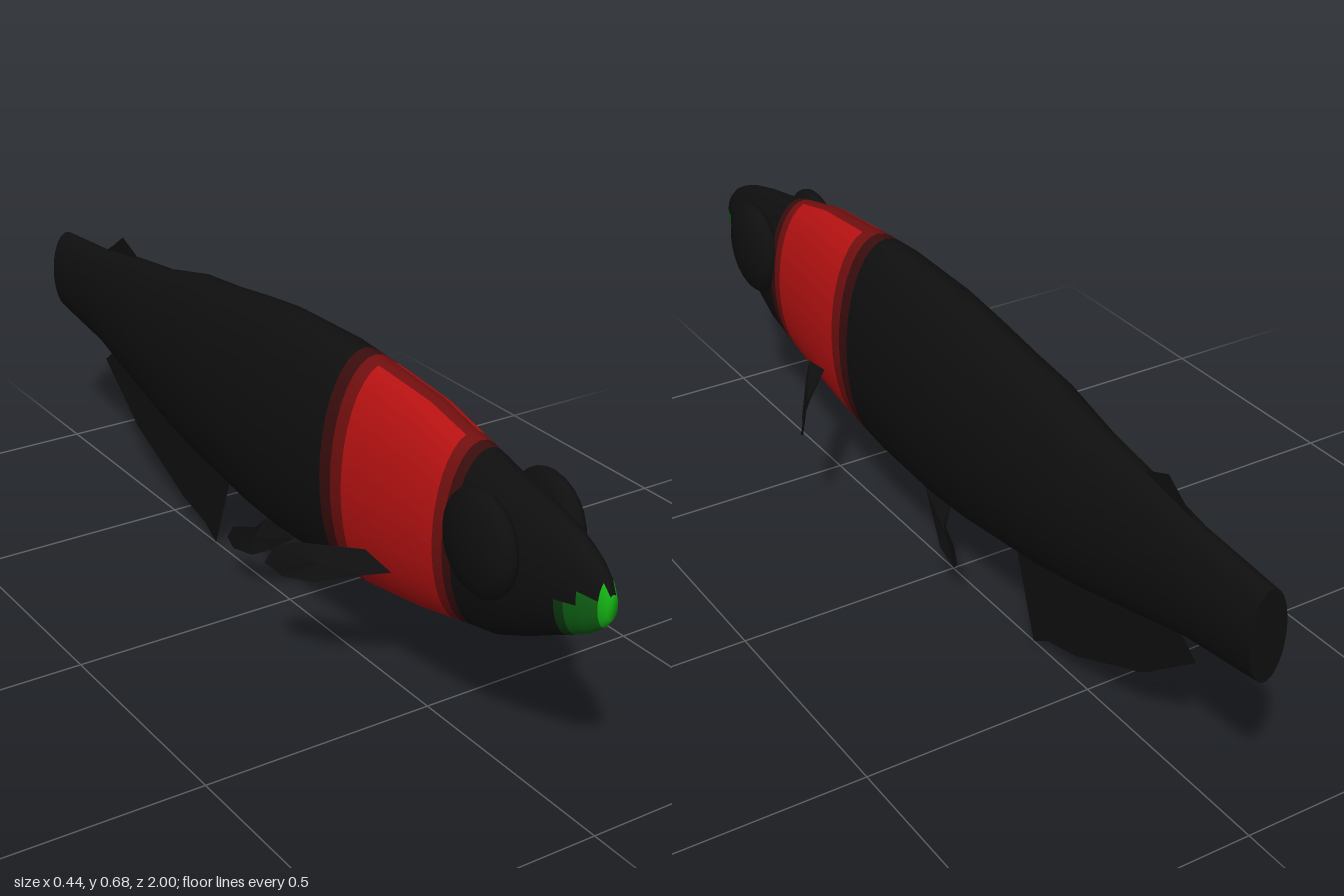
import * as THREE from 'three';

const paint = (name, color, side = THREE.FrontSide) => {
  const m = new THREE.MeshStandardMaterial({ color, side });
  m.name = name;
  return m;
};

// Body sections from nose to tail: z, top, bottom, half width
const SECTIONS = [
  [1, 0.485, 0.435, 0.012], [0.985, 0.51, 0.415, 0.02], [0.955, 0.535, 0.39, 0.031],
  [0.92, 0.553, 0.37, 0.041], [0.88, 0.568, 0.35, 0.05], [0.8, 0.588, 0.308, 0.063],
  [0.72, 0.602, 0.272, 0.073], [0.655, 0.618, 0.258, 0.079], [0.5, 0.655, 0.222, 0.09],
  [0.36, 0.667, 0.2, 0.098], [0.2, 0.677, 0.182, 0.104], [0, 0.671, 0.176, 0.106],
  [-0.1, 0.659, 0.182, 0.104], [-0.22, 0.642, 0.198, 0.099], [-0.35, 0.629, 0.213, 0.091],
  [-0.5, 0.594, 0.243, 0.077], [-0.65, 0.576, 0.278, 0.06], [-0.8, 0.55, 0.315, 0.046],
  [-1, 0.535, 0.342, 0.04],
];
// Extra rings where the colours change
const EDGES = [0.945, 0.9, 0.632, 0.605, 0.335, 0.3, 0.265];
const SIDES = 36;

function sectionAt(z) {
  const i = Math.max(1, SECTIONS.findIndex((s) => s[0] <= z));
  const a = SECTIONS[i - 1], b = SECTIONS[i];
  const t = (z - a[0]) / (b[0] - a[0]);
  return a.map((v, k) => v + (b[k] - v) * t);
}

// Material index: 0 black, 1-3 dark to bright red, 4-6 dark to bright green
function colourAt(z, s) {
  if (z > 0.975) return s < 0.85 ? 6 : 0;
  if (z > 0.945) return s < 0.15 ? 5 : 0;
  if (z > 0.9) return s < -0.1 ? (z > 0.92 ? 5 : 4) : 0;
  if (z < 0.265 || z > 0.655) return 0;
  if (z < 0.3 || z > 0.632) return 1;
  if (z < 0.335 || z > 0.605) return 2;
  return Math.abs(s) > 0.97 ? 2 : 3;
}

function bodyGeometry() {
  const rings = [...SECTIONS, ...EDGES.map(sectionAt)].sort((a, b) => b[0] - a[0]);
  const pos = [], buckets = Array.from({ length: 7 }, () => []);
  for (const [z, top, bottom, w] of rings) {
    for (let j = 0; j < SIDES; j++) {
      const a = (j / SIDES) * Math.PI * 2;
      pos.push(w * Math.cos(a), (top + bottom) / 2 + ((top - bottom) / 2) * Math.sin(a), z);
    }
  }
  const nose = pos.length / 3;
  pos.push(0, 0.46, 1);
  for (let j = 0; j < SIDES; j++) {
    const n = (j + 1) % SIDES;
    const s = Math.sin(((j + 0.5) / SIDES) * Math.PI * 2);
    buckets[6].push(nose, j, n);
    for (let i = 0; i < rings.length - 1; i++) {
      const a = i * SIDES + j, b = i * SIDES + n, c = a + SIDES, d = b + SIDES;
      buckets[colourAt((rings[i][0] + rings[i + 1][0]) / 2, s)].push(a, c, b, b, c, d);
    }
  }
  const geo = new THREE.BufferGeometry();
  geo.setAttribute('position', new THREE.Float32BufferAttribute(pos, 3));
  geo.setIndex(buckets.flat());
  let start = 0;
  buckets.forEach((f, m) => {
    geo.addGroup(start, f.length, m);
    start += f.length;
  });
  geo.computeVertexNormals();
  return geo;
}

// Thin fin from an outline of [x, y, z] points, fanned around its middle
function finGeometry(points, side = 1) {
  const mid = [0, 1, 2].map((k) => points.reduce((t, p) => t + p[k], 0) / points.length);
  const pos = [];
  points.forEach((p, i) => {
    for (const [x, y, z] of [mid, p, points[(i + 1) % points.length]]) pos.push(x * side, y, z);
  });
  const geo = new THREE.BufferGeometry();
  geo.setAttribute('position', new THREE.Float32BufferAttribute(pos, 3));
  geo.computeVertexNormals();
  return geo;
}

export function createModel() {
  const model = new THREE.Group();
  model.name = 'fish';
  const black = paint('black', 0x0f0f0f);
  const finBlack = paint('finBlack', 0x0f0f0f, THREE.DoubleSide);
  const skin = [
    black, paint('darkRed', 0x3a0d0d), paint('mediumRed', 0x720f0f), paint('brightRed', 0xb81212),
    paint('darkGreen', 0x0c3a10), paint('mediumGreen', 0x0e6214), paint('brightGreen', 0x14b014),
  ];
  const add = (name, geo, mat) => {
    const mesh = new THREE.Mesh(geo, mat);
    mesh.name = name;
    model.add(mesh);
    return mesh;
  };

  // Body and flat tail end
  add('body', bodyGeometry(), skin);
  const end = add('tailEnd', new THREE.CircleGeometry(1, SIDES), black);
  end.scale.set(0.04, 0.0965, 1);
  end.rotation.y = Math.PI;
  end.position.set(0, 0.4385, -1);

  // Fins on the centre line
  const centre = (pts) => finGeometry(pts.map(([z, y]) => [0, y, z]));
  add('backFin', centre([[-0.62, 0.56], [-0.65, 0.582], [-0.71, 0.606], [-0.75, 0.578], [-0.81, 0.54]]), finBlack);
  add('bellyFin', centre([
    [-0.23, 0.22], [-0.31, 0], [-0.36, 0.03], [-0.46, 0.055], [-0.58, 0.11], [-0.67, 0.15],
    [-0.74, 0.205], [-0.82, 0.268], [-0.76, 0.315], [-0.5, 0.27],
  ]), finBlack);

  // Paired eyes and fins
  for (const [word, side] of [['left', 1], ['right', -1]]) {
    const eye = add(word + 'Eye', new THREE.SphereGeometry(1, 20, 14), black);
    eye.scale.set(0.036, 0.104, 0.1);
    eye.position.set(0.075 * side, 0.485, 0.735);
    add(word + 'SideFin', finGeometry([
      [0.08, 0.31, 0.48], [0.085, 0.325, 0.4], [0.175, 0.322, 0.3], [0.207, 0.305, 0.268],
      [0.222, 0.272, 0.258], [0.2, 0.249, 0.29], [0.17, 0.256, 0.35], [0.11, 0.295, 0.44],
    ], side), finBlack);
    add(word + 'LowerFin', finGeometry([
      [0.03, 0.185, 0.065], [0.045, 0.14, 0.01], [0.063, 0.103, -0.05], [0.07, 0.092, -0.115],
      [0.074, 0.112, -0.134], [0.07, 0.145, -0.115], [0.055, 0.167, -0.05], [0.032, 0.187, -0.04],
    ], side), finBlack);
  }
  return model;
}
